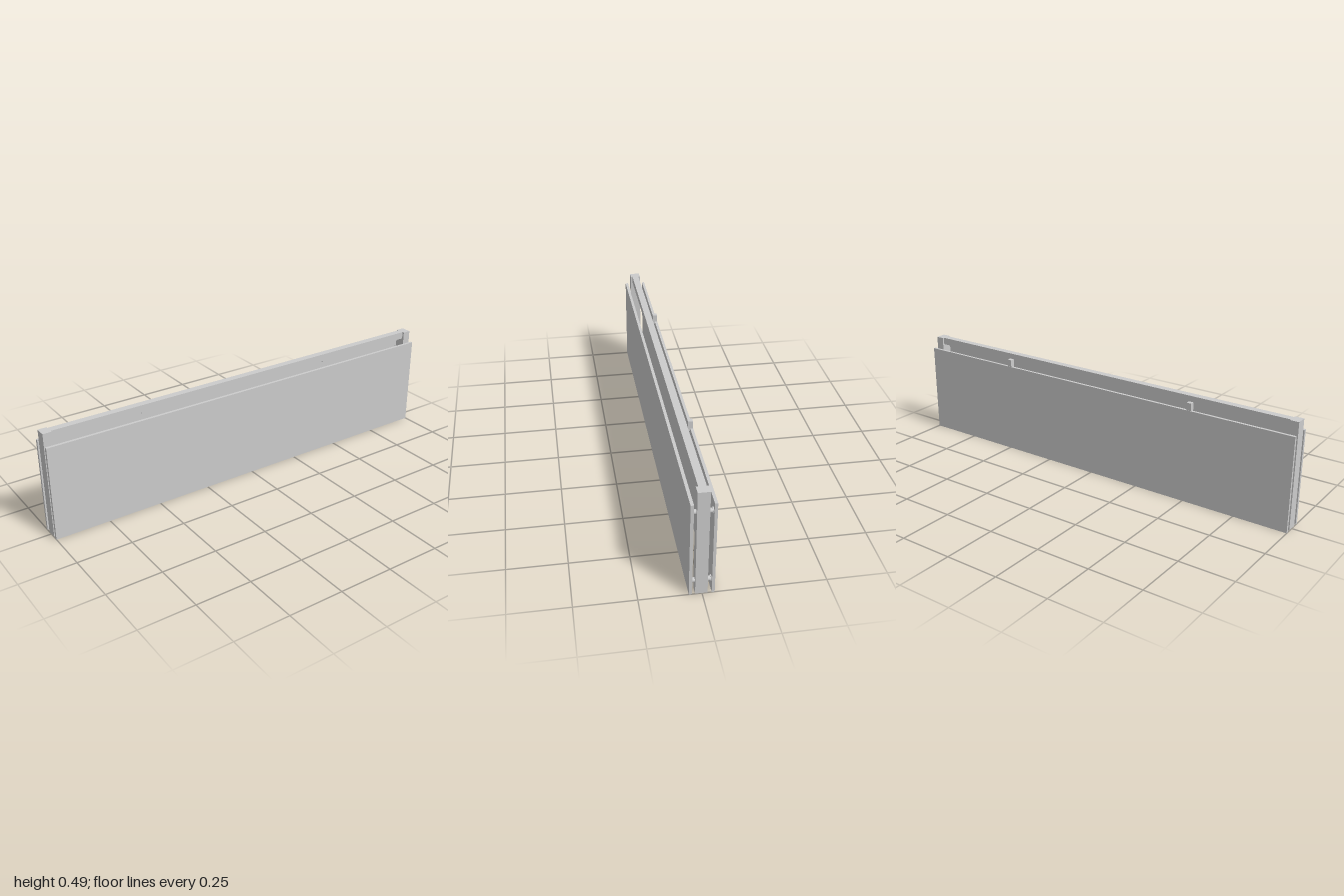
import * as THREE from 'three';

export function createModel() {
  const model = new THREE.Group();
  const material = new THREE.MeshStandardMaterial({ color: 0xcccccc });

  function add(name, geometry, x, y, z) {
    const mesh = new THREE.Mesh(geometry, material);
    mesh.name = name;
    mesh.position.set(x, y, z);
    model.add(mesh);
    return mesh;
  }

  // Box given by its limits on each axis
  function box(name, [x0, x1], [y0, y1], [z0, z1]) {
    return add(name, new THREE.BoxGeometry(x1 - x0, y1 - y0, z1 - z0),
      (x0 + x1) / 2, (y0 + y1) / 2, (z0 + z1) / 2);
  }

  // Round pin running along z
  function pin(name, radius, x, y, z0, z1) {
    const geometry = new THREE.CylinderGeometry(radius, radius, z1 - z0, 24).rotateX(Math.PI / 2);
    add(name, geometry, x, y, (z0 + z1) / 2);
  }

  // Cladding panels on both faces
  box('frontPanel', [-1, 1], [0, 0.431], [0.039, 0.052]);
  box('backPanel', [-1, 1], [0, 0.431], [-0.05, -0.038]);

  // Top rail between the end posts
  box('topRail', [-0.96, 0.96], [0.451, 0.485], [-0.014, 0.018]);

  for (const side of [-1, 1]) {
    const label = side > 0 ? 'left' : 'right';
    // End post
    box(label + 'Post', side > 0 ? [0.96, 0.999] : [-0.999, -0.96], [0, 0.485], [-0.022, 0.027]);

    // Standoffs holding the panels off the post
    for (const y of [0.055, 0.386]) {
      pin(label + 'FrontStandoff', 0.01, side * 0.979, y, 0.027, 0.037);
      pin(label + 'BackStandoff', 0.01, side * 0.979, y, -0.035, -0.022);
      pin(label + 'BackWasher', 0.014, side * 0.979, y, -0.038, -0.034);
    }
  }

  // Clips hooked over the back panel
  for (const x of [-0.514, 0.486]) {
    box('panelClip', [x - 0.011, x + 0.011], [0.42, 0.465], [-0.049, -0.028]);
  }

  return model;
}
